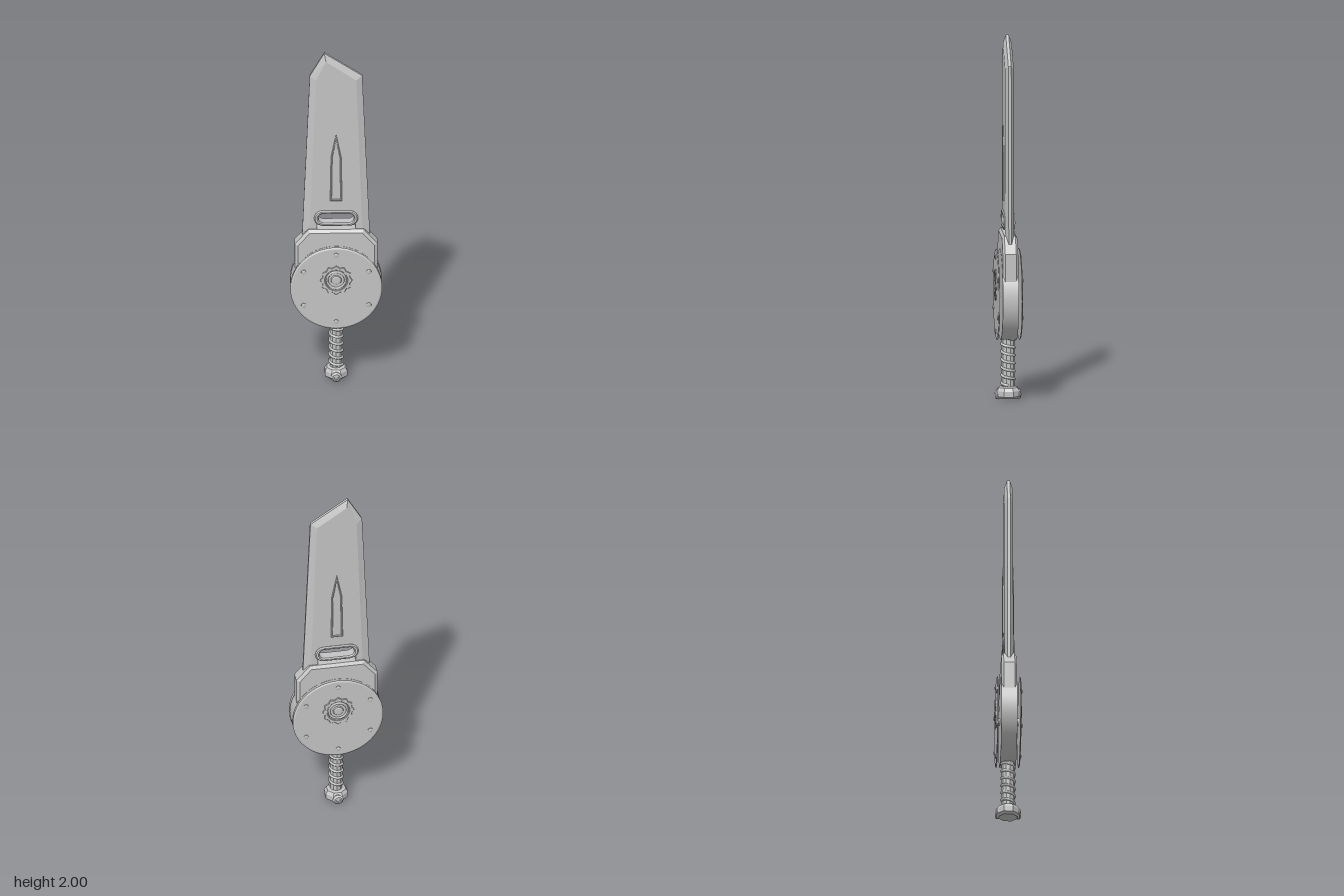
import * as THREE from 'three';

const steel = new THREE.MeshStandardMaterial({ color: 0xc4c4c4 });
steel.name = 'steel grey';

// Solid through rings [outline, z], ordered front to back; outlines run counter-clockwise.
function loft(rings) {
  const pos = [];
  const put = (r, i) => pos.push(r[0][i][0], r[0][i][1], r[1]);
  const cap = (r, flip) => {
    const pts = r[0].map(p => new THREE.Vector2(p[0], p[1]));
    for (const [a, b, c] of THREE.ShapeUtils.triangulateShape(pts, [])) {
      for (const i of flip ? [a, c, b] : [a, b, c]) put(r, i);
    }
  };
  cap(rings[0], false);
  for (let k = 0; k < rings.length - 1; k++) {
    const a = rings[k], b = rings[k + 1], n = a[0].length;
    for (let i = 0; i < n; i++) {
      const j = (i + 1) % n;
      put(a, i); put(b, i); put(b, j);
      put(a, i); put(b, j); put(a, j);
    }
  }
  cap(rings[rings.length - 1], true);
  const g = new THREE.BufferGeometry();
  g.setAttribute('position', new THREE.Float32BufferAttribute(pos, 3));
  g.computeVertexNormals();
  return g;
}

const bevelled = (outer, inner, edgeZ, faceZ) =>
  loft([[inner, faceZ], [outer, edgeZ], [outer, -edgeZ], [inner, -faceZ]]);

function add(parent, name, geometry, x = 0, y = 0, z = 0) {
  const m = new THREE.Mesh(geometry, steel);
  m.name = name;
  m.position.set(x, y, z);
  parent.add(m);
  return m;
}

// Flat ring between two outlines, centred on z = 0
function frame(outer, hole, halfDepth, bevel) {
  const s = new THREE.Shape(outer);
  s.holes.push(new THREE.Path(hole));
  const g = new THREE.ExtrudeGeometry(s, {
    depth: 2 * (halfDepth - bevel), bevelEnabled: true, bevelSegments: 1,
    bevelSize: bevel, bevelThickness: bevel, bevelOffset: -bevel,
  });
  return g.translate(0, 0, bevel - halfDepth);
}

// Rounded slot outline
function stadium(halfX, r) {
  const pts = [];
  for (let i = 0; i <= 20; i++) {
    const right = i <= 10;
    const a = -Math.PI / 2 + (right ? i : i - 1) * Math.PI / 10;
    if (i === 20) { pts.push(new THREE.Vector2(-(halfX - r), -r)); break; }
    pts.push(new THREE.Vector2((right ? 1 : -1) * (halfX - r) + r * Math.cos(a), r * Math.sin(a)));
  }
  return pts;
}

// Disc turned so that its axis points along +z
const turned = (profile, n) =>
  new THREE.LatheGeometry(profile.map(p => new THREE.Vector2(...p)), n).rotateX(Math.PI / 2);

function faceted(g) {
  const f = g.toNonIndexed();
  f.computeVertexNormals();
  return f;
}

export function createModel() {
  const sword = new THREE.Group();
  sword.name = 'sword';

  // Blade with ground edges and a notch for the slot
  const notch = [[-0.105, 0.87], [-0.105, 1.0], [-0.085, 1.025], [0.085, 1.025], [0.105, 1.0], [0.105, 0.87]];
  const edge = [[0.185, 0.87], [0.143, 1.86], [-0.064, 2], [-0.143, 1.86], [-0.185, 0.87], ...notch];
  const flat = [[0.145, 0.87], [0.11, 1.84], [-0.055, 1.955], [-0.11, 1.84], [-0.145, 0.87], ...notch];
  add(sword, 'blade', bevelled(edge, flat, 0.008, 0.024));

  // Raised pointed frame on both faces of the blade
  const point = (w, bottom, shoulder, tip) =>
    [[-w, bottom], [w, bottom], [w * 0.85, shoulder], [0, tip], [-w * 0.85, shoulder]].map(p => new THREE.Vector2(...p));
  add(sword, 'bladeInlay', frame(point(0.033, 1.1, 1.37, 1.51), point(0.024, 1.109, 1.367, 1.475), 0.031, 0.003));

  // Rim of the slot
  add(sword, 'slotRim', frame(stadium(0.12, 0.047), stadium(0.097, 0.028), 0.032, 0.006), 0, 0.992, 0);

  // Guard
  add(sword, 'guard', bevelled(
    [[-0.225, 0.65], [0.225, 0.65], [0.225, 0.837], [0.15, 0.925], [-0.15, 0.925], [-0.225, 0.837]],
    [[-0.208, 0.65], [0.208, 0.65], [0.208, 0.832], [0.143, 0.908], [-0.143, 0.908], [-0.208, 0.832]],
    0.03, 0.042));

  // Drum and its axle
  const hubY = 0.58;
  add(sword, 'drum', new THREE.CylinderGeometry(0.248, 0.248, 0.087, 64).rotateX(Math.PI / 2), 0, hubY, 0);
  add(sword, 'axle', new THREE.CylinderGeometry(0.02, 0.02, 0.12, 16).rotateX(Math.PI / 2), 0, hubY, 0);

  // Gear outline
  const gear = [];
  for (let i = 0; i < 48; i++) {
    const a = i / 48 * Math.PI * 2, r = 0.082 + 0.006 * Math.cos(12 * a);
    gear.push(new THREE.Vector2(r * Math.cos(a), r * Math.sin(a)));
  }
  const circle = r => new THREE.Path().absarc(0, 0, r, 0, Math.PI * 2).getPoints(16).slice(0, -1);

  // Side plates with rivets and a gear, front and back
  for (const turn of [0, Math.PI]) {
    const side = new THREE.Group();
    side.name = turn ? 'backPlate' : 'frontPlate';
    side.rotation.y = turn;
    side.position.y = hubY;
    sword.add(side);
    add(side, 'plate', faceted(turned([[0, 0.059], [0.246, 0.059], [0.25, 0.061], [0.24, 0.066], [0, 0.066]]
      .map(([r, z]) => [r, z]), 64)));
    for (let i = 0; i < 6; i++) {
      const a = Math.PI / 2 + i * Math.PI / 3;
      add(side, 'rivet', faceted(turned([[0.014, 0.065], [0.013, 0.069], [0.008, 0.072], [0, 0.072]], 10)),
        0.205 * Math.cos(a), 0.205 * Math.sin(a), 0);
    }
    add(side, 'gear', frame(gear, circle(0.062), 0.004, 0.002), 0, 0.052, 0.068);
    add(side, 'gearRing', new THREE.TorusGeometry(0.05, 0.007, 6, 24), 0, 0.052, 0.067);
    add(side, 'gearHub', faceted(turned([[0.03, 0.065], [0.026, 0.073], [0.018, 0.076], [0, 0.076]], 16)), 0, 0.052, 0);
  }

  // Grip with a spiral wrap
  add(sword, 'grip', faceted(new THREE.CylinderGeometry(0.036, 0.034, 0.3, 10)), 0, 0.2, 0);
  const turns = 6, spiral = [];
  for (let i = 0; i <= turns * 12; i++) {
    const a = i / 12 * Math.PI * 2;
    spiral.push(new THREE.Vector3(0.035 * Math.cos(a), 0.08 + 0.26 * i / (turns * 12), 0.035 * Math.sin(a)));
  }
  add(sword, 'gripWrap', new THREE.TubeGeometry(new THREE.CatmullRomCurve3(spiral), turns * 16, 0.008, 6));

  // Pommel with a knob at front and back
  const pommel = new THREE.LatheGeometry([[0, 0.008], [0.052, 0.008], [0.066, 0.02], [0.066, 0.05],
    [0.054, 0.068], [0.042, 0.072], [0, 0.072]].map(p => new THREE.Vector2(...p)), 8).rotateY(Math.PI / 8);
  add(sword, 'pommel', faceted(pommel));
  for (const turn of [0, Math.PI]) {
    const knob = add(sword, 'pommelKnob',
      faceted(turned([[0.03, 0.05], [0.029, 0.063], [0.02, 0.071], [0.012, 0.071], [0.01, 0.066], [0, 0.066]], 12)), 0, 0.03, 0);
    knob.rotation.y = turn;
  }
  return sword;
}
